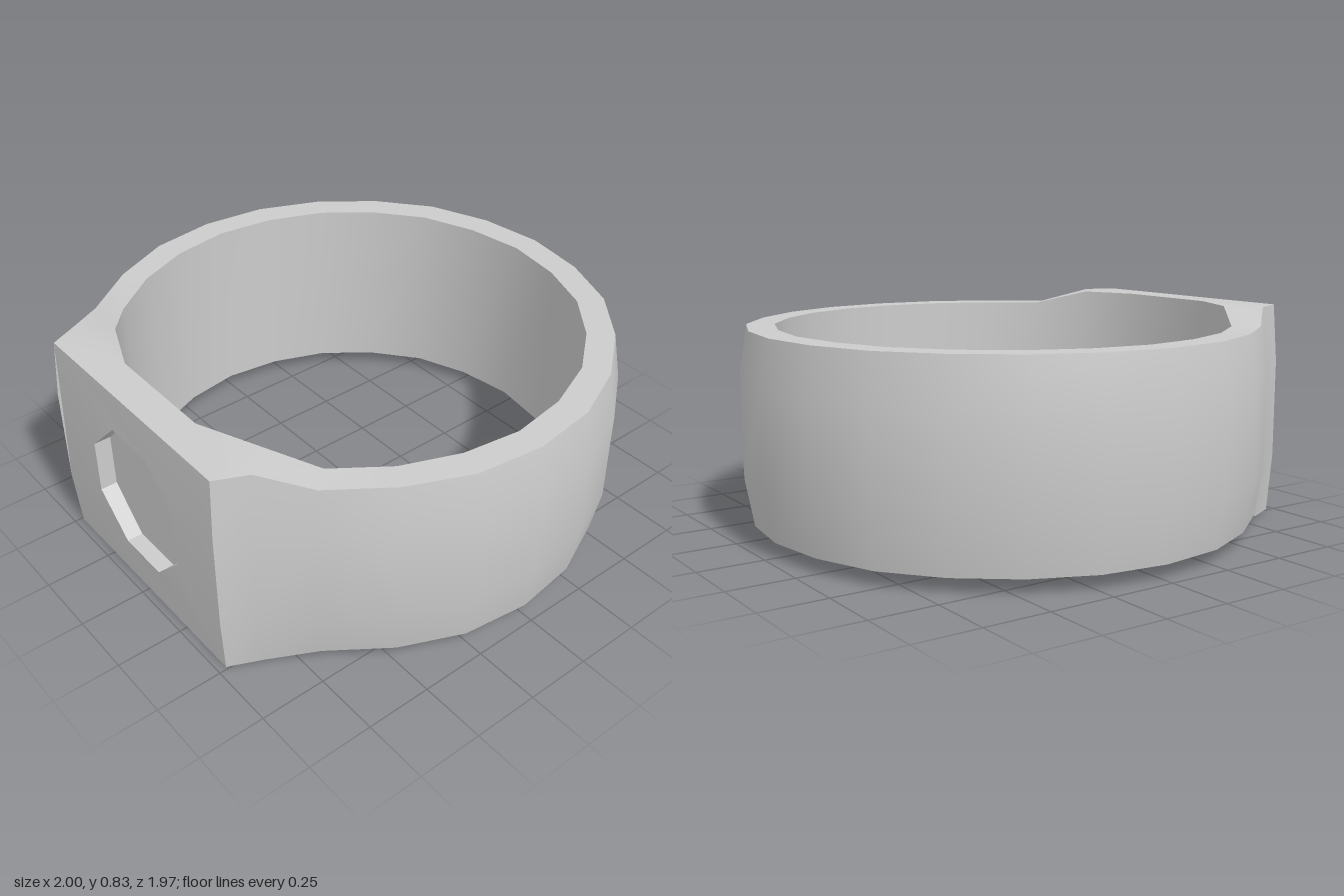
import * as THREE from 'three';
import { toCreasedNormals } from 'three/addons/utils/BufferGeometryUtils.js';

// Half of the ring, front corner to back: [mid x, mid z, rim x, rim z, inner x, inner z, half height, half height of mid band]
const HALF = [
  [0.50, 0.982, 0.49, 0.968, 0.22, 0.84, 0.415, 0.19],
  [0.56, 0.87, 0.545, 0.85, 0.43, 0.755, 0.415, 0.19],
  [0.70, 0.72, 0.68, 0.70, 0.61, 0.62, 0.36, 0.18],
  [0.86, 0.51, 0.832, 0.49, 0.745, 0.435, 0.36, 0.18],
  [0.965, 0.265, 0.935, 0.26, 0.83, 0.225, 0.36, 0.18],
  [1.00, 0.01, 0.968, 0.005, 0.862, 0.005, 0.36, 0.18],
  [0.965, -0.25, 0.935, -0.245, 0.83, -0.215, 0.36, 0.18],
  [0.865, -0.49, 0.835, -0.475, 0.745, -0.425, 0.36, 0.18],
  [0.705, -0.695, 0.68, -0.675, 0.607, -0.60, 0.36, 0.18],
  [0.50, -0.857, 0.485, -0.832, 0.432, -0.74, 0.36, 0.18],
  [0.26, -0.955, 0.25, -0.924, 0.223, -0.82, 0.36, 0.18],
  [0, -0.988, 0, -0.958, 0, -0.853, 0.36, 0.18],
];
const MID_Y = 0.417;
const CREASE = 0.5;

// Depth of the slightly crowned front face at height y
function faceZ(y) {
  const t = Math.max(0, (Math.abs(y - MID_Y) - 0.19) / (0.415 - 0.19));
  return 0.982 - 0.014 * t;
}

// Octagon with a flat side on top
function octagon() {
  return Array.from({ length: 8 }, (_, i) => {
    const a = ((i + 0.5) * Math.PI) / 4;
    return new THREE.Vector2(0.276 * Math.cos(a), MID_Y + 0.006 + 0.276 * Math.sin(a));
  });
}

function makeMesh(name, geometry, material) {
  const m = new THREE.Mesh(toCreasedNormals(geometry, CREASE), material);
  m.name = name;
  return m;
}

// Closed band swept through the cross-sections, left open where the front face sits
function bandGeometry() {
  const mirrored = HALF.slice(0, -1).reverse().map(([mx, mz, rx, rz, ix, iz, h, b]) => [-mx, mz, -rx, rz, -ix, iz, h, b]);
  const sections = [...HALF, ...mirrored].map(([mx, mz, rx, rz, ix, iz, h, b]) => [
    [ix, MID_Y + h, iz], [ix, MID_Y - h, iz],
    [rx, MID_Y - h, rz], [mx, MID_Y - b, mz],
    [mx, MID_Y + b, mz], [rx, MID_Y + h, rz],
  ]);
  const n = sections.length;
  const index = [];
  for (let i = 0; i < n; i++) {
    const j = (i + 1) % n;
    for (let k = 0; k < 6; k++) {
      if (i === n - 1 && k >= 2 && k <= 4) continue;
      const l = (k + 1) % 6;
      const [a, b, c, d] = [i * 6 + k, j * 6 + k, j * 6 + l, i * 6 + l];
      index.push(a, b, c, a, c, d);
    }
  }
  const g = new THREE.BufferGeometry();
  g.setAttribute('position', new THREE.Float32BufferAttribute(sections.flat(2), 3));
  g.setIndex(index);
  return g;
}

// Front plate with an octagonal opening, bent to the crown
function faceGeometry() {
  const right = [[0.49, -0.415], [0.50, -0.19], [0.50, 0.19], [0.49, 0.415]];
  const left = right.map(([x, y]) => [-x, y]).reverse();
  const shape = new THREE.Shape([...right, ...left].map(([x, y]) => new THREE.Vector2(x, MID_Y + y)));
  shape.holes.push(new THREE.Path(octagon()));
  const g = new THREE.ShapeGeometry(shape);
  const p = g.attributes.position;
  for (let i = 0; i < p.count; i++) p.setZ(i, faceZ(p.getY(i)));
  return g;
}

// Inward facing walls of the recess
function recessWallGeometry(floorZ) {
  const pos = [];
  const index = [];
  octagon().forEach((v, i) => {
    pos.push(v.x, v.y, floorZ, v.x, v.y, faceZ(v.y));
    const a = i * 2;
    const b = ((i + 1) % 8) * 2;
    index.push(a, a + 1, b + 1, a, b + 1, b);
  });
  const g = new THREE.BufferGeometry();
  g.setAttribute('position', new THREE.Float32BufferAttribute(pos, 3));
  g.setIndex(index);
  return g;
}

export function createModel() {
  const group = new THREE.Group();
  group.name = 'signetRing';
  const material = new THREE.MeshStandardMaterial({ color: 0xcccccc });
  const floorZ = 0.918;

  group.add(makeMesh('band', bandGeometry(), material));
  group.add(makeMesh('bezelFace', faceGeometry(), material));
  group.add(makeMesh('recessWall', recessWallGeometry(floorZ), material));

  const floor = makeMesh('recessFloor', new THREE.ShapeGeometry(new THREE.Shape(octagon())), material);
  floor.position.z = floorZ;
  group.add(floor);
  return group;
}
